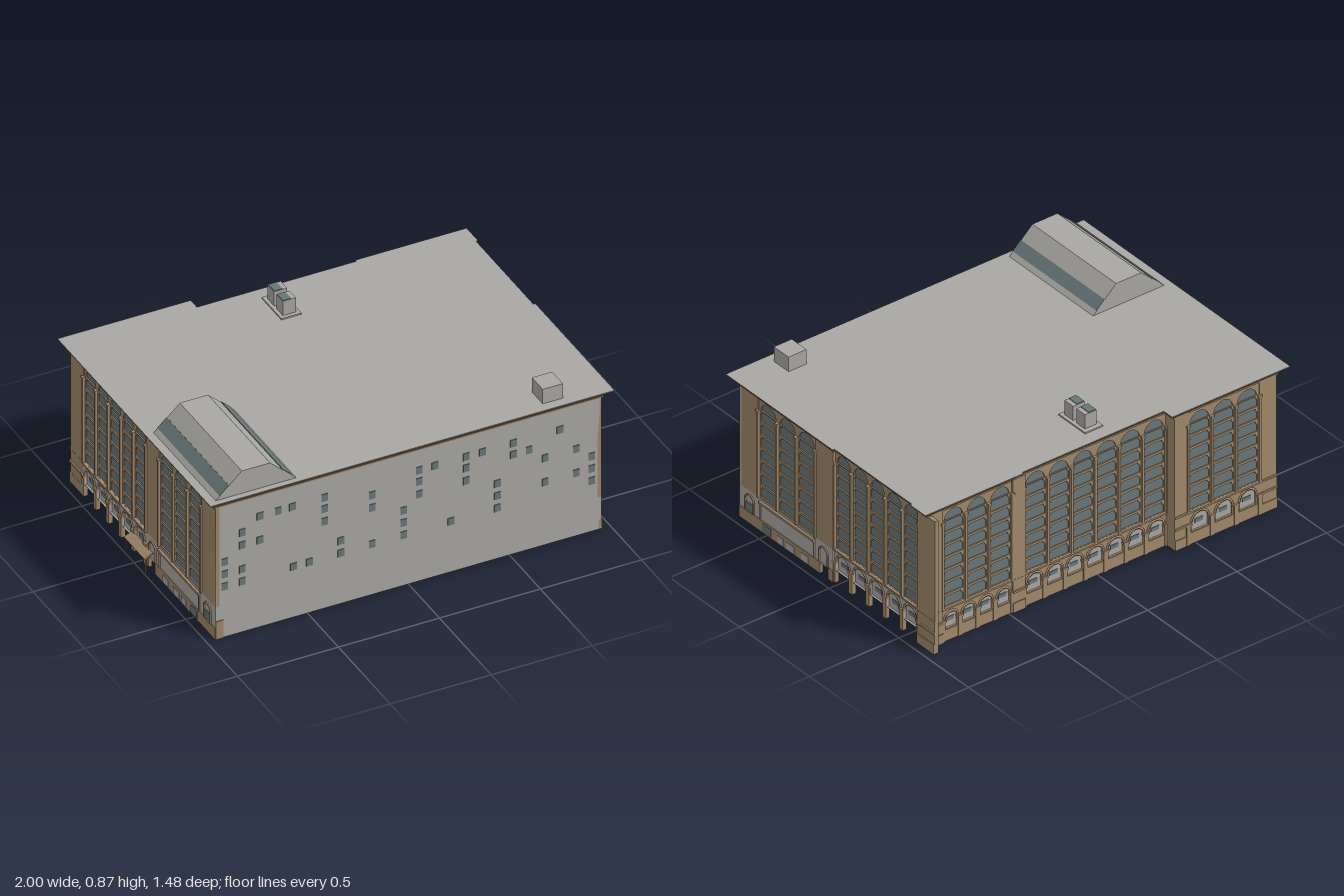
import * as THREE from 'three';

const mat = (name, color, extra = {}) => Object.assign(new THREE.MeshStandardMaterial({ color, ...extra }), { name });

export function createModel() {
  const model = new THREE.Group();
  model.name = 'building';
  const two = { side: THREE.DoubleSide };
  const grey = mat('greyRender', 0xa9a7a3, two);
  const stone = mat('brownStone', 0xa0876a, two);
  const glass = mat('windowGlass', 0x687678, two);

  const add = (parent, name, geo, material) => {
    const mesh = new THREE.Mesh(geo, material);
    mesh.name = name;
    parent.add(mesh);
    return mesh;
  };
  // Box given by its limits
  const box = (parent, name, material, x0, x1, y0, y1, z0, z1) =>
    add(parent, name, new THREE.BoxGeometry(x1 - x0, y1 - y0, z1 - z0), material)
      .position.set((x0 + x1) / 2, (y0 + y1) / 2, (z0 + z1) / 2);
  // Thin slab from a shape, its face at depth z
  const slab = (parent, name, shape, material, z, t = 0.012) => {
    const geo = new THREE.ExtrudeGeometry(shape, { depth: t, bevelEnabled: false, curveSegments: 8 });
    add(parent, name, geo.translate(0, 0, z - t), material);
  };
  const rect = (x0, x1, y0, y1) =>
    new THREE.Shape([[x0, y0], [x1, y0], [x1, y1], [x0, y1]].map(p => new THREE.Vector2(...p)));
  // Opening with a round head
  const archPath = (c, r, y0, spring) => {
    const p = new THREE.Path();
    p.moveTo(c - r, y0);
    p.lineTo(c + r, y0);
    p.lineTo(c + r, spring);
    p.absarc(c, spring, r, 0, Math.PI, false);
    p.closePath();
    return p;
  };
  // Opening with clipped upper corners
  const clippedPath = (c, r, y0, y1) => new THREE.Path([[-r, y0], [r, y0], [r, y1 - 0.018], [r - 0.008, y1 - 0.012],
    [r - 0.012, y1], [-r + 0.012, y1], [-r + 0.008, y1 - 0.012], [-r, y1 - 0.018]]
    .map(([x, y]) => new THREE.Vector2(c + x, y)));

  // Facade kit: u runs along the wall, its face looks to local +z; m mirrors it
  const facade = (name, angle, x, z, m = 1) => {
    const g = new THREE.Group();
    g.name = name;
    g.rotation.y = angle;
    g.position.set(x, 0, z);
    model.add(g);
    const span = (a, b) => (m > 0 ? [a, b] : [-b, -a]);
    const f = { g };
    f.box = (n, material, a, b, y0, y1, z0, z1) => box(g, n, material, ...span(a, b), y0, y1, z0, z1);
    f.pier = (a, b, y0 = 0.17, d = 0) => f.box('wallPier', stone, a, b, y0, 0.7, d - 0.02, d);

    // Upper bay: columns of windows between slender pilasters
    f.bay = (a, b, n, d = 0) => {
      const [u0, u1] = span(a, b), step = (u1 - u0) / n, r = step / 2 - 0.01;
      const wall = rect(u0, u1, 0.17, 0.7);
      for (let i = 0; i < n; i++) {
        const c = u0 + step * (i + 0.5);
        for (let k = 0; k < 7; k++) wall.holes.push(clippedPath(c, r, 0.177 + k * 0.066, 0.231 + k * 0.066));
        wall.holes.push(archPath(c, r - 0.003, 0.632, 0.682 - r + 0.003));
      }
      slab(g, 'windowWall', wall, stone, d - 0.004);
      const pane = new THREE.PlaneGeometry(u1 - u0, 0.515);
      add(g, 'bayGlass', pane.translate((u0 + u1) / 2, 0.4325, d - 0.01), glass);
      for (let i = 0; i <= n; i++) {
        const c = u0 + step * i;
        box(g, 'pilaster', stone, c - 0.006, c + 0.006, 0.17, 0.625, d - 0.005, d + 0.008);
        box(g, 'pilasterCapital', stone, c - 0.01, c + 0.01, 0.62, 0.632, d - 0.005, d + 0.01);
      }
    };

    // Ground-floor arches with rings, piers and recessed infill
    f.arcade = (a, b, n, wallMat, closed, d = 0) => {
      const [u0, u1] = span(a, b), step = (u1 - u0) / n, r = Math.min(0.047, step / 2 - 0.012);
      const wall = rect(u0, u1, 0.06, 0.17);
      for (let i = 0; i < n; i++) {
        const c = u0 + step * (i + 0.5);
        wall.holes.push(archPath(c, r, 0.062, 0.11));
        const ring = new THREE.TorusGeometry(r + 0.002, 0.006, 5, 14, Math.PI);
        add(g, 'archRing', ring.translate(c, 0.11, d), stone);
        box(g, 'archWindow', glass, c - 0.023, c + 0.023, 0.095, 0.115, d - 0.011, d - 0.007);
      }
      slab(g, 'arcadeWall', wall, wallMat, d);
      box(g, 'arcadeInfill', grey, u0, u1, 0.06, 0.168, d - 0.016, d - 0.01);
      for (let i = 0; i <= n; i++) {
        const c = u0 + step * i;
        box(g, 'arcadePier', stone, c - 0.012, c + 0.012, 0, 0.1, d - 0.015, d + 0.007);
        box(g, 'arcadeImpost', stone, c - 0.016, c + 0.016, 0.1, 0.112, d - 0.01, d + 0.01);
      }
      if (closed) box(g, 'arcadeBase', stone, u0, u1, 0, 0.06, d - 0.014, d + 0.003);
    };

    // Massive corner foot with plinth and string course
    f.foot = (a, b, d = 0) => {
      f.box('cornerFoot', stone, a, b, 0, 0.17, d - 0.02, d + 0.001);
      f.box('cornerPlinth', stone, a, b, 0, 0.05, d - 0.01, d + 0.006);
      f.box('cornerCourse', stone, a, b, 0.103, 0.113, d - 0.01, d + 0.008);
    };
    f.course = (a, b, d = 0) => f.box('stringCourse', stone, a, b, 0.167, 0.176, d - 0.012, d + 0.008);

    // Small arched doorway
    f.door = (c, withGlass) => {
      c *= m;
      const ring = new THREE.Shape(archPath(c, 0.034, 0.06, 0.12).getPoints(8));
      ring.holes.push(archPath(c, 0.028, 0.062, 0.12));
      slab(g, 'doorFrame', ring, stone, 0.007, 0.008);
      if (withGlass) box(g, 'doorGlass', glass, c - 0.027, c + 0.027, 0.063, 0.105, 0, 0.003);
    };
    return f;
  };

  // Two side walls, mirror images of each other
  for (const s of [1, -1]) {
    const f = facade(s > 0 ? 'leftSide' : 'rightSide', s * Math.PI / 2, s * 0.955, 0, s);
    const d = s > 0 ? -0.01 : 0;
    f.pier(-0.7, -0.565);
    f.bay(-0.565, -0.155, 3);
    f.pier(-0.155, -0.03);
    f.bay(-0.03, 0.575, 5, d);
    f.pier(0.575, 0.7);
    f.foot(0.575, 0.7);
    f.arcade(-0.03, 0.575, 5, grey, false, d);
    f.course(-0.03, 0.575, d);
    f.box('shopWall', grey, -0.7, -0.03, 0.06, 0.17, -0.014, 0);
    f.box('shopBase', stone, -0.7, -0.12, 0, 0.06, -0.014, 0.003);
    f.box('shopLegs', stone, -0.06, -0.03, 0, 0.06, -0.014, 0.003);
    f.door(-0.625, true);
    f.door(-0.095, false);
    // Shop front frame and base openings
    f.box('shopHead', stone, -0.55, -0.16, 0.148, 0.16, -0.005, 0.012);
    for (const u of [-0.55, -0.166]) f.box('shopJamb', stone, u, u + 0.006, 0.06, 0.15, -0.005, 0.006);
    f.box('baseWindow', glass, -0.53, -0.47, 0.008, 0.05, 0, 0.006);
    for (const [a, b] of [[-0.42, -0.38], [-0.36, -0.3], [-0.25, -0.2]]) f.box('basePanel', grey, a, b, 0.006, 0.042, 0, 0.006);
    // Entrance awning on posts
    if (s < 0) {
      const tilt = new THREE.BoxGeometry(0.2, 0.006, 0.048);
      const awning = add(f.g, 'awning', tilt, stone);
      awning.position.set(0, 0.086, 0.022);
      awning.rotation.x = 0.5;
      for (const u of [-0.095, 0.095]) box(f.g, 'awningPost', stone, u - 0.002, u + 0.002, 0, 0.08, 0.034, 0.038);
    }
  }

  // Back wall with its projecting wing
  const back = facade('backWall', Math.PI, 0, -0.64);
  const wing = 0.06;
  back.pier(0.385, 0.46, 0.17, wing);
  back.bay(0.46, 0.86, 3, wing);
  back.pier(0.86, 0.955, 0.17, wing);
  back.foot(0.385, 0.46, wing);
  back.foot(0.86, 0.955, wing);
  back.arcade(0.46, 0.86, 3, stone, true, wing);
  back.course(0.385, 0.955, wing);
  back.box('wingReturn', stone, 0.385, 0.4, 0, 0.7, -0.02, wing);
  back.bay(-0.41, 0.385, 6);
  back.arcade(-0.41, 0.385, 7, stone, true);
  back.course(-0.41, 0.385);
  back.pier(-0.48, -0.41, 0.17, 0.01);
  back.foot(-0.48, -0.41, 0.01);
  back.bay(-0.87, -0.48, 3, 0.005);
  back.arcade(-0.87, -0.48, 4, stone, true, 0.005);
  back.course(-0.87, -0.48, 0.005);
  back.pier(-0.955, -0.87, 0.17, 0.01);
  back.foot(-0.955, -0.87, 0.01);

  // Plain front wall with scattered small windows
  box(model, 'frontWall', grey, -0.955, 0.955, 0, 0.7, 0.685, 0.7);
  box(model, 'frontCornerStone', stone, -0.955, -0.917, 0, 0.095, 0.7, 0.704);
  const rows = [
    [0.59, [-0.735, -0.645, -0.575, -0.415, 0.053, 0.131, 0.286, 0.366, 0.52, 0.75]],
    [0.53, [-0.823, -0.415, -0.18, 0.053, 0.286, 0.52, 0.597]],
    [0.463, [-0.823, -0.735, -0.415, -0.18, 0.053, 0.286, 0.677, 0.83]],
    [0.4, [-0.91, -0.024, 0.44, 0.907]],
    [0.335, [-0.91, -0.823, -0.335, -0.024, 0.44, 0.677, 0.83, 0.907]],
    [0.27, [-0.91, -0.823, -0.57, -0.49, -0.335, -0.18, -0.024, 0.21, 0.44, 0.907]],
  ];
  for (const [y, xs] of rows)
    for (const x of xs) box(model, 'frontWindow', glass, x - 0.016, x + 0.016, y - 0.019, y + 0.019, 0.698, 0.703);

  // Roof outline, flaring cornice below it
  const outline = [[-1, 0.74], [1, 0.74], [1, -0.025], [0.99, -0.025], [0.99, -0.58], [1, -0.58], [1, -0.69],
    [0.45, -0.69], [0.45, -0.68], [-0.34, -0.68], [-0.34, -0.74], [-1, -0.74]];
  const count = outline.length;
  const inward = i => {
    const [a, b] = [outline[i % count], outline[(i + 1) % count]];
    return [Math.sign(b[1] - a[1]), -Math.sign(b[0] - a[0])];
  };
  const ringPoint = (i, [inset, y]) => {
    const [n, p] = [inward(i), inward(i + count - 1)];
    const [x, z] = outline[i % count];
    return [x + (n[0] + p[0]) * inset, y, z + (n[1] + p[1]) * inset];
  };
  const rings = [[0.046, 0.694], [0.037, 0.698], [0.037, 0.706], [0, 0.741], [0, 0.746]];
  const pos = [];
  for (let k = 0; k + 1 < rings.length; k++)
    for (let i = 0; i < count; i++) {
      const [a, b, c, d] = [ringPoint(i, rings[k]), ringPoint(i + 1, rings[k]), ringPoint(i + 1, rings[k + 1]), ringPoint(i, rings[k + 1])];
      pos.push(...a, ...b, ...c, ...a, ...c, ...d);
    }
  const cornice = new THREE.BufferGeometry();
  cornice.setAttribute('position', new THREE.Float32BufferAttribute(pos, 3));
  cornice.computeVertexNormals();
  add(model, 'cornice', cornice, stone);
  const roofShape = new THREE.Shape(outline.map(([x, z]) => new THREE.Vector2(x, -z)));
  add(model, 'roof', new THREE.ShapeGeometry(roofShape).rotateX(-Math.PI / 2).translate(0, 0.746, 0), grey);

  // Long skylight with a glass strip on each slope
  const profile = [[-0.2, 0.745], [0.2, 0.745], [0.07, 0.865], [-0.07, 0.865]].map(p => new THREE.Vector2(...p));
  const skylight = new THREE.Group();
  skylight.name = 'skylight';
  skylight.position.x = -0.76;
  model.add(skylight);
  slab(skylight, 'skylightBody', new THREE.Shape(profile), grey, 0.71, 0.6);
  for (const s of [1, -1]) {
    const strip = add(skylight, 'skylightGlass', new THREE.BoxGeometry(0.062, 0.004, 0.6), glass);
    strip.position.set(s * 0.157, 0.7865, 0.41);
    strip.rotation.z = -s * Math.atan2(0.12, 0.13);
  }

  // Roof plant
  box(model, 'ventBase', grey, -0.055, 0.045, 0.745, 0.753, -0.61, -0.42);
  for (const z of [-0.555, -0.47]) {
    box(model, 'ventBox', grey, -0.038, 0.027, 0.75, 0.828, z - 0.031, z + 0.031);
    box(model, 'ventGlass', glass, -0.036, 0.004, 0.827, 0.831, z - 0.029, z + 0.029);
  }
  box(model, 'roofHut', grey, 0.67, 0.77, 0.745, 0.823, 0.585, 0.69);
  return model;
}
